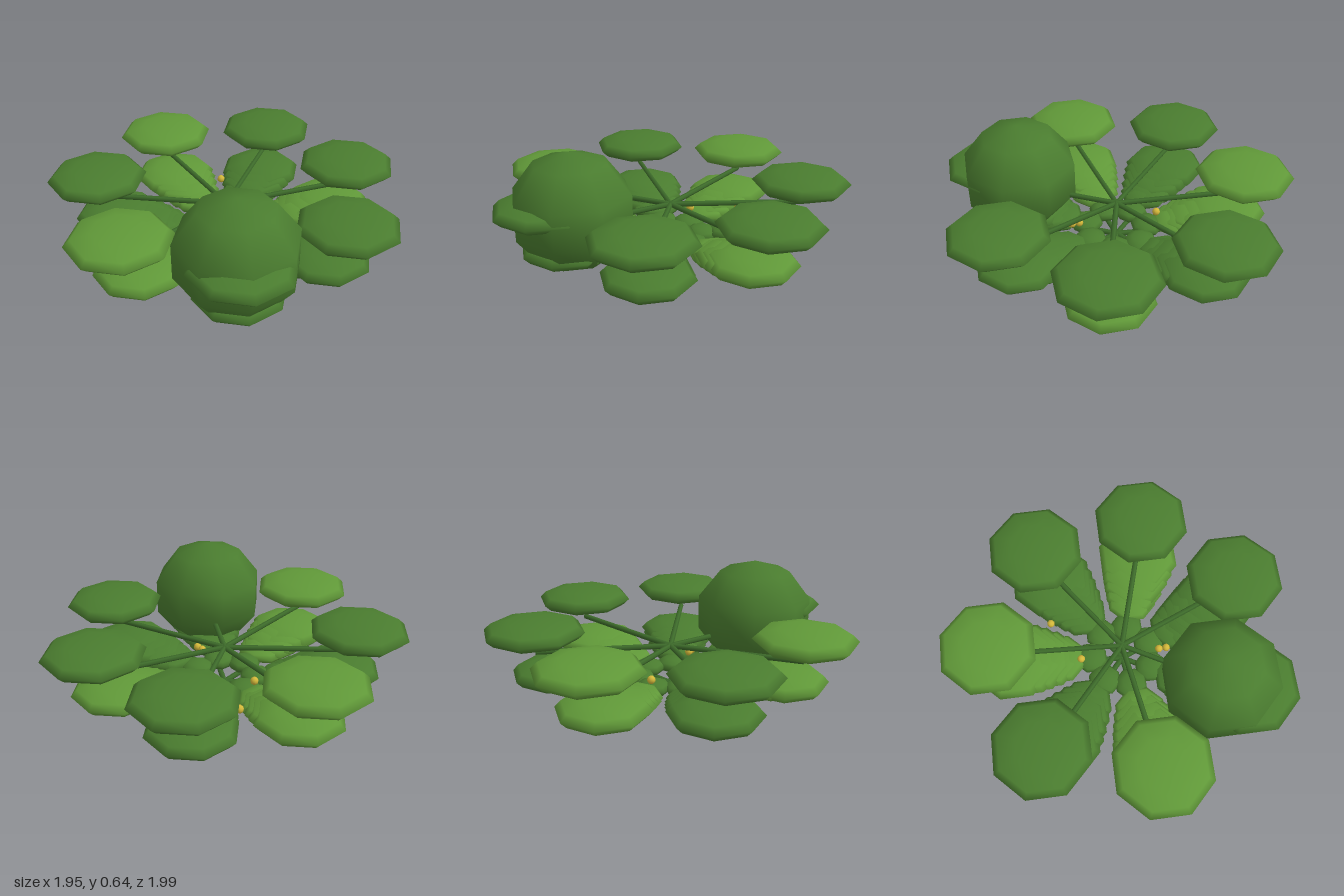
import * as THREE from 'three';

const mat = (name, color) => {
  const m = new THREE.MeshStandardMaterial({ color });
  m.name = name;
  return m;
};

export function createModel() {
  const root = new THREE.Group();
  root.name = 'plant';
  const darkGreen = mat('darkGreen', 0x4a7c2f);
  const lightGreen = mat('lightGreen', 0x609838);
  const stemGreen = mat('stemGreen', 0x3d6b2a);
  const yellow = mat('yellow', 0xd4b83a);
  const ARMS = 7, CX = -0.035;

  // Flattened low-sided ellipsoid used for every leaf
  function blob(name, parent, material, x, y, z, r, ry, rings = 6) {
    const geo = new THREE.SphereGeometry(1, 8, rings).scale(r, ry, r);
    const mesh = new THREE.Mesh(geo, material);
    mesh.name = name;
    mesh.position.set(x, y, z);
    parent.add(mesh);
  }

  // Horizontal stem running outward from the hub
  function stem(name, parent, angle, y, length, r) {
    const geo = new THREE.CylinderGeometry(r, r, length, 6);
    geo.rotateZ(-Math.PI / 2).translate(length / 2, 0, 0).rotateY(-angle);
    const mesh = new THREE.Mesh(geo, stemGreen);
    mesh.name = name;
    mesh.position.set(CX, y, 0);
    parent.add(mesh);
  }

  // Lower leaflets along each arm: distance, height, radius, half thickness
  const chain = [
    [0.18, 0.06, 0.095, 0.045],
    [0.36, 0.075, 0.15, 0.05],
    [0.43, 0.085, 0.18, 0.055],
    [0.5, 0.1, 0.205, 0.06],
    [0.56, 0.11, 0.225, 0.065],
    [0.628, 0.12, 0.245, 0.07],
  ];

  for (let k = 0; k < ARMS; k++) {
    const a = (k / ARMS) * Math.PI * 2;
    const c = Math.cos(a), s = Math.sin(a);
    const arm = new THREE.Group();
    arm.name = 'arm' + (k + 1);
    root.add(arm);

    stem('lowerStem', arm, a, 0.016, 0.63, 0.016);
    const lowerMat = [2, 4, 6].includes(k) ? lightGreen : darkGreen;
    chain.forEach(([d, y, r, ry], i) =>
      blob(i ? 'lowerLeaf' : 'innerLeaf', arm, i ? lowerMat : darkGreen, CX + c * d, y, s * d, r, ry));

    stem('upperStem', arm, a, 0.24, 0.735, 0.015);
    blob('upperLeaf', arm, [2, 4].includes(k) ? lightGreen : darkGreen,
      CX + c * 0.735, 0.36, s * 0.735, 0.277, 0.07);
  }

  // Round head
  blob('roundHead', root, darkGreen, 0.322, 0.325, 0.458, 0.34, 0.32, 5);

  // Small yellow buds
  for (const [x, z] of [[-0.31, -0.36], [-0.26, -0.08], [0.16, 0.09], [0.2, 0.105]]) {
    blob('bud', root, yellow, x, 0.13, z, 0.023, 0.023);
  }
  return root;
}
